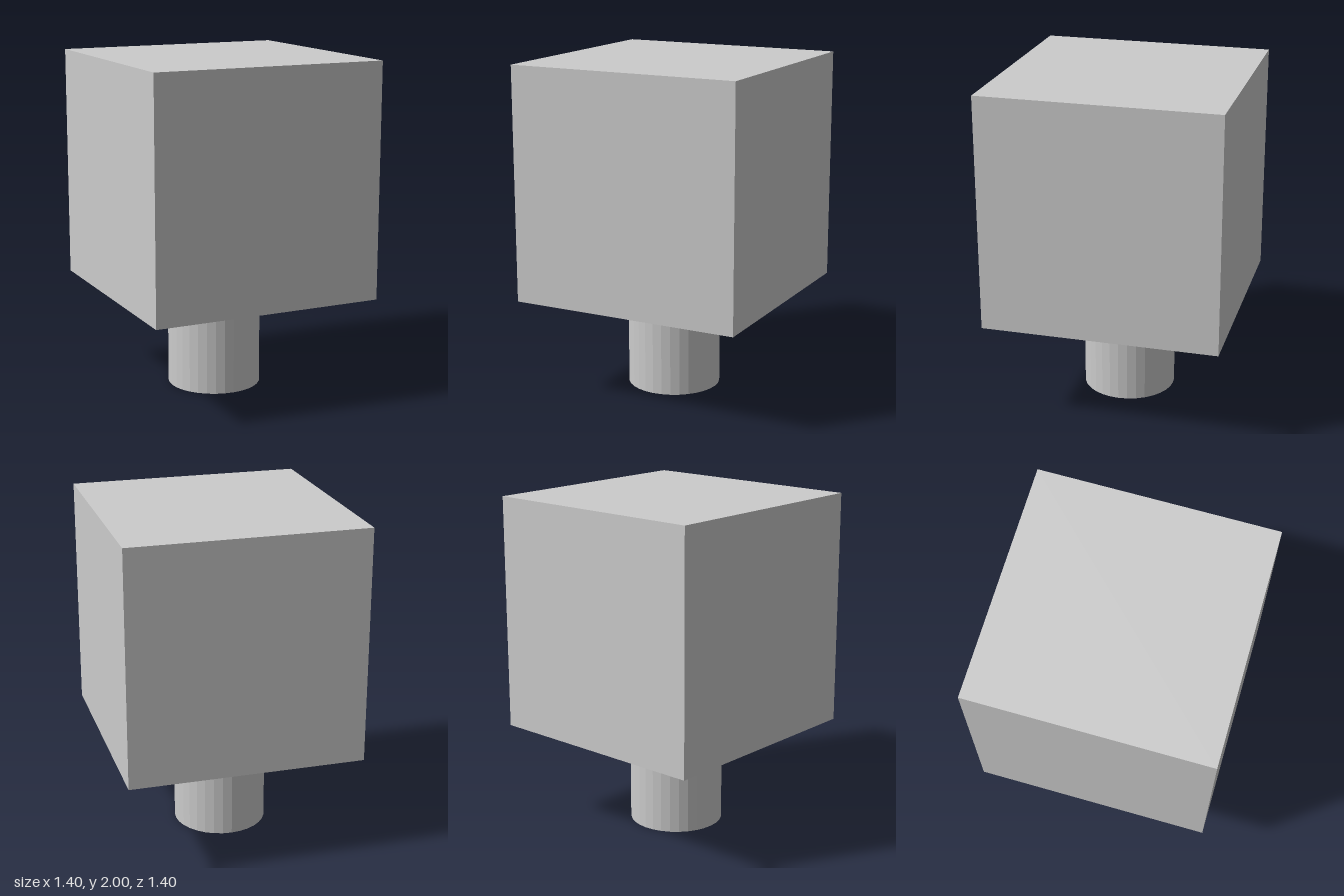
import * as THREE from 'three';

const SIDES = 32;
const HALF = 0.7;          // half the block's side
const BASE = 0.6;          // height of the block's underside
const SOCKET_RADIUS = 0.325;
const SOCKET_DEPTH = 0.1;

export function createModel() {
  const model = new THREE.Group();
  const material = new THREE.MeshStandardMaterial({ color: 0xcccccc, flatShading: true });

  const add = (name, geometry, x, y, z) => {
    const mesh = new THREE.Mesh(geometry, material);
    mesh.name = name;
    mesh.position.set(x, y, z);
    model.add(mesh);
    return mesh;
  };

  const square = () => new THREE.Shape([
    new THREE.Vector2(-HALF, -HALF), new THREE.Vector2(HALF, -HALF),
    new THREE.Vector2(HALF, HALF), new THREE.Vector2(-HALF, HALF),
  ]);
  const extrudeUp = (shape, depth) => {
    const geometry = new THREE.ExtrudeGeometry(shape, { depth, bevelEnabled: false, curveSegments: SIDES });
    return geometry.rotateX(-Math.PI / 2);
  };

  // Lower slice of the block, pierced by the round socket
  const pierced = square();
  const hole = new THREE.Path();
  hole.absarc(0, 0, SOCKET_RADIUS, 0, Math.PI * 2, true);
  pierced.holes.push(hole);
  add('blockSocket', extrudeUp(pierced, SOCKET_DEPTH), 0, BASE, 0);

  // Solid remainder of the block; its underside closes the socket
  add('block', extrudeUp(square(), 2 - BASE - SOCKET_DEPTH), 0, BASE + SOCKET_DEPTH, 0);

  // Round post, slightly off centre, reaching up into the socket
  const height = BASE + SOCKET_DEPTH;
  add('post', new THREE.CylinderGeometry(0.28, 0.28, height, SIDES), -0.025, height / 2, 0);

  return model;
}
